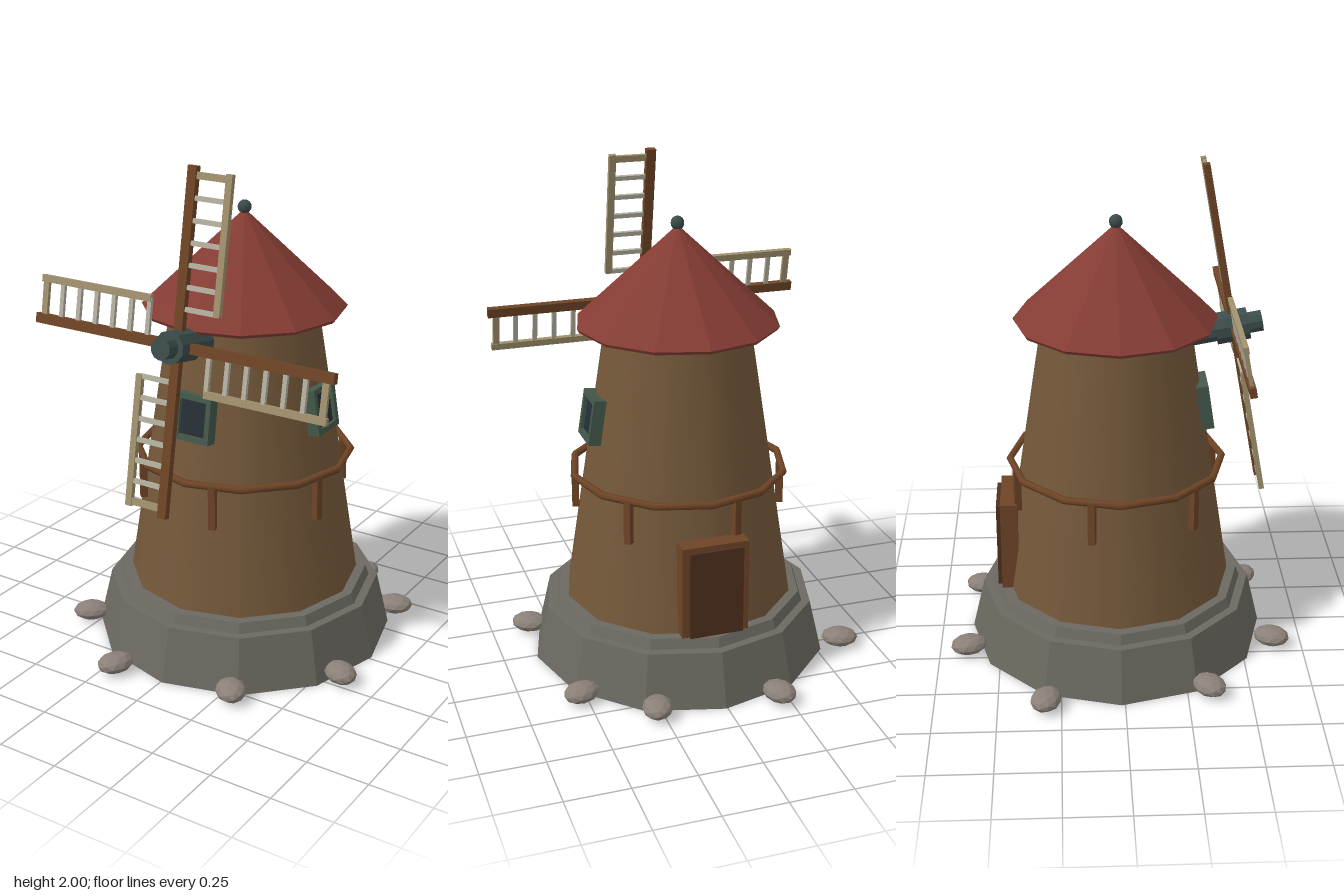
import * as THREE from 'three';

const mat = (color, flatShading = false) => new THREE.MeshStandardMaterial({ color, flatShading });
const SIDES = 12;

export function createModel() {
  const root = new THREE.Group();
  root.name = 'windmill';
  const mill = new THREE.Group();
  mill.name = 'mill';
  mill.position.set(0.007, 0, -0.014);
  root.add(mill);

  const stone = mat(0x6b6960, true), rock = mat(0x8a8078, true);
  const plaster = mat(0x74583a), wood = mat(0x6e4426), darkWood = mat(0x4e2f1e);
  const roofRed = mat(0x843c34, true), iron = mat(0x3c4c4b, true);
  const frameGreen = mat(0x43584a, true), glass = mat(0x262f36);
  const railWood = mat(0xa0906c), slatWood = mat(0xb5b0a0);

  const add = (parent, name, geo, material, x = 0, y = 0, z = 0) => {
    const m = new THREE.Mesh(geo, material);
    m.name = name;
    m.position.set(x, y, z);
    parent.add(m);
    return m;
  };
  const box = (w, h, d) => new THREE.BoxGeometry(w, h, d);
  const drum = (top, bottom, y0, y1, sides = SIDES) =>
    new THREE.CylinderGeometry(top, bottom, y1 - y0, sides).translate(0, (y0 + y1) / 2, 0);

  // Stone footing with a stepped top
  add(mill, 'footing', drum(0.555, 0.607, 0, 0.22), stone);
  add(mill, 'footingStep', drum(0.505, 0.52, 0.22, 0.26), stone);

  // Tapered tower
  const towerRadius = (y) => 0.468 - 0.156 * (y - 0.25);
  add(mill, 'tower', drum(towerRadius(1.39), towerRadius(0.25), 0.25, 1.39), plaster);

  // Roof with eave and finial
  add(mill, 'eave', drum(0.403, 0.395, 1.38, 1.393), roofRed);
  add(mill, 'roof', new THREE.ConeGeometry(0.403, 0.38, SIDES).translate(0, 1.583, 0), roofRed);
  add(mill, 'finial', new THREE.SphereGeometry(0.027, 10, 8), mat(0x3c4c4b), 0, 1.78, 0);

  // Ring rail on six posts
  const rail = add(mill, 'ringRail', new THREE.TorusGeometry(0.43, 0.015, 6, SIDES), wood, 0, 0.788, 0);
  rail.rotation.x = Math.PI / 2;
  for (let i = 0; i < 6; i++) {
    const a = Math.PI / 12 + (i * Math.PI) / 3;
    const post = add(mill, 'railPost', box(0.028, 0.18, 0.028), wood,
      Math.sin(a) * 0.415, 0.7, Math.cos(a) * 0.415);
    post.rotation.y = a;
  }

  // Windows leaning with the wall, on the front and the left side
  const opening = (w, h) => [[-w, -h], [w, -h], [w, h], [-w, h]].map(([x, y]) => new THREE.Vector2(x, y));
  const frameShape = new THREE.Shape(opening(0.079, 0.092));
  frameShape.holes.push(new THREE.Path(opening(0.058, 0.07).reverse()));
  const frameGeo = new THREE.ExtrudeGeometry(frameShape, { depth: 0.05, bevelEnabled: false });
  for (const a of [0, Math.PI / 2]) {
    const win = new THREE.Group();
    win.name = 'window';
    win.rotation.order = 'YXZ';
    win.rotation.set(-0.155, a, 0);
    const r = towerRadius(1.03);
    win.position.set(Math.sin(a) * r, 1.03, Math.cos(a) * r);
    add(win, 'windowFrame', frameGeo, frameGreen, 0, 0, -0.02);
    add(win, 'windowPane', box(0.118, 0.142, 0.03), glass, 0, 0, 0);
    mill.add(win);
  }

  // Back door
  add(mill, 'doorFrame', box(0.27, 0.38, 0.07), wood, 0, 0.45, -0.438);
  add(mill, 'doorPanel', box(0.216, 0.36, 0.03), darkWood, 0, 0.442, -0.475);

  // Sail wheel, leaning back
  const wheel = new THREE.Group();
  wheel.name = 'sailWheel';
  wheel.position.set(0, 1.35, 0.459);
  wheel.rotation.x = -0.182;
  mill.add(wheel);
  const axle = (name, r, z0, z1) =>
    add(wheel, name, drum(r, r, z0, z1, 10).rotateX(Math.PI / 2), iron);
  axle('shaft', 0.05, -0.17, -0.04);
  axle('hub', 0.064, -0.07, 0.06);
  axle('hubCap', 0.042, 0.06, 0.115);

  for (let i = 0; i < 4; i++) {
    const sail = new THREE.Group();
    sail.name = 'sail';
    sail.rotation.z = (-i * Math.PI) / 2;
    add(sail, 'sailStock', box(0.038, 0.66, 0.026), wood, 0, 0.33, 0);
    add(sail, 'sailRail', box(0.027, 0.512, 0.02), railWood, 0.157, 0.389, 0);
    for (let j = 0; j < 7; j++) {
      const end = j === 6;
      add(sail, 'sailSlat', box(0.16, end ? 0.026 : 0.018, 0.014), end ? railWood : slatWood,
        0.08, 0.14 + j * 0.081, 0);
    }
    wheel.add(sail);
  }

  // Loose rocks around the footing, long side pointing outward
  const rockSpots = [[-0.21, -0.63], [0.275, -0.59], [0.525, -0.395], [-0.605, -0.31],
    [-0.535, 0.335], [0.595, 0.215], [0.3, 0.55], [-0.195, 0.625]];
  const rockGeo = new THREE.IcosahedronGeometry(1, 1);
  rockSpots.forEach(([x, z], i) => {
    const m = add(root, 'rock', rockGeo, rock, x, 0.042, z);
    m.scale.set(0.06, 0.038, 0.075);
    m.rotation.y = Math.atan2(x, z) + 0.25 * Math.sin(i * 2.3);
  });

  return root;
}
